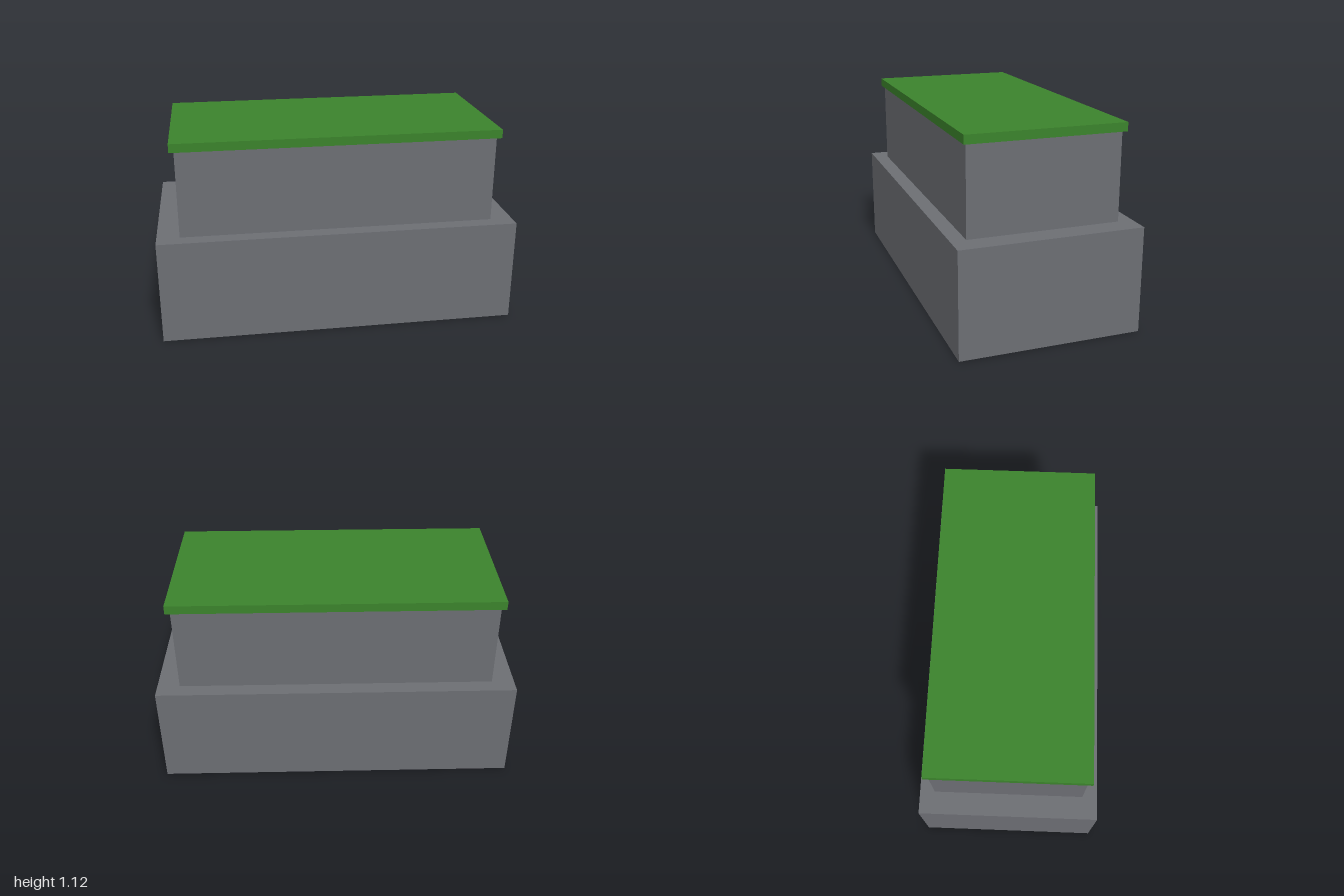
import * as THREE from 'three';

export function createModel() {
  const model = new THREE.Group();
  model.name = 'steppedBuilding';

  const stone = new THREE.MeshStandardMaterial({ color: 0x6c6e73 });
  stone.name = 'stone grey';
  const green = new THREE.MeshStandardMaterial({ color: 0x3b832c });
  green.name = 'roof green';

  // Adds a centred block whose underside sits at the given height
  function addBlock(name, material, width, depth, bottom, top) {
    const height = top - bottom;
    const block = new THREE.Mesh(new THREE.BoxGeometry(width, height, depth), material);
    block.name = name;
    block.position.y = bottom + height / 2;
    model.add(block);
  }

  // Wide base, inset upper storey, overhanging roof slab
  addBlock('lowerBlock', stone, 2, 1, 0, 0.585);
  addBlock('upperBlock', stone, 1.75, 0.833, 0.585, 1.07);
  addBlock('roofSlab', green, 1.8, 0.867, 1.07, 1.118);

  return model;
}
